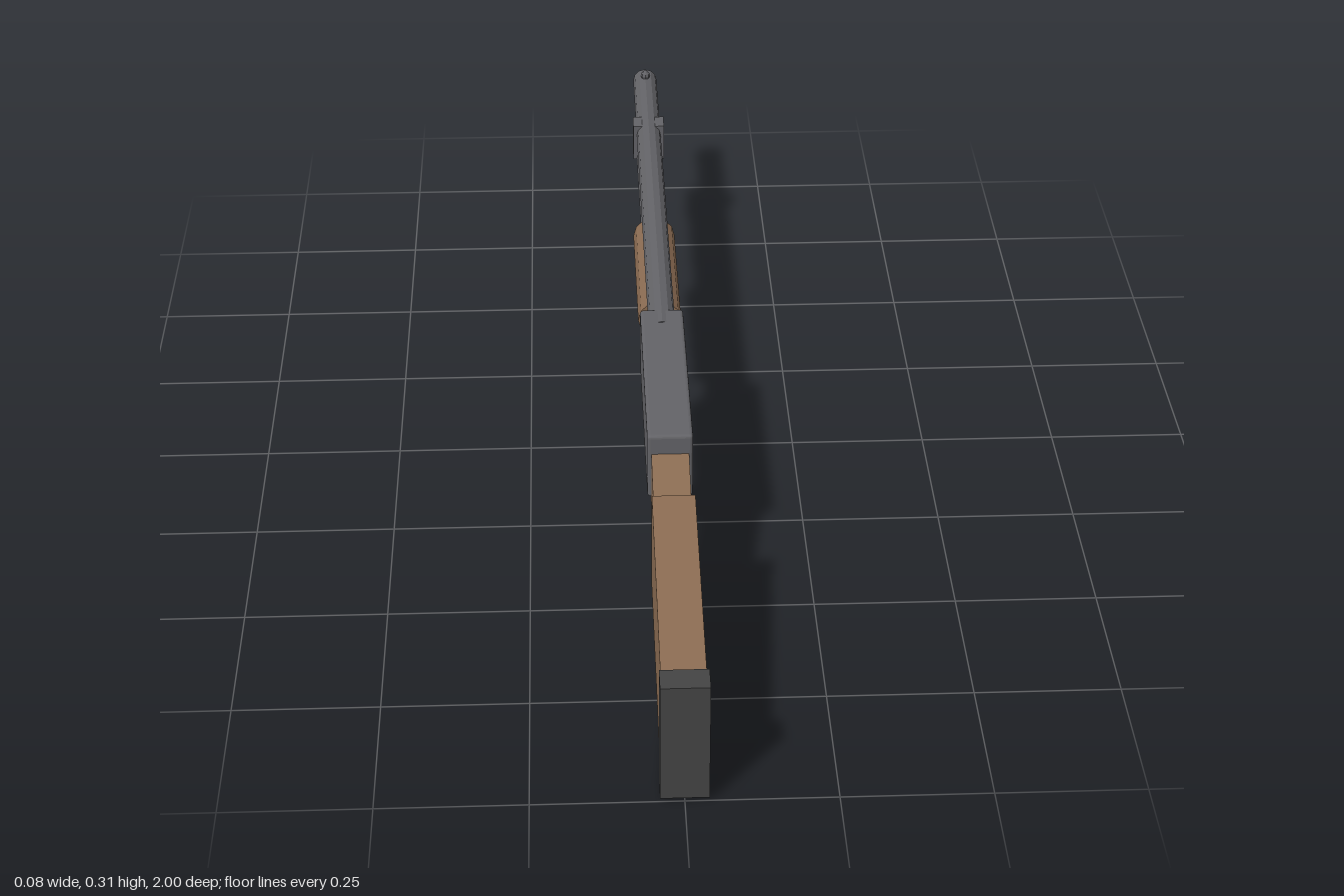
import * as THREE from 'three';
import { RoundedBoxGeometry } from 'three/addons/geometries/RoundedBoxGeometry.js';

const paint = (color) => new THREE.MeshStandardMaterial({ color, flatShading: true });

export function createModel() {
  const model = new THREE.Group();
  const metal = paint(0x636367), wood = paint(0x8b6c52), rubber = paint(0x444444);

  function add(name, geometry, material, y, z, tilt = 0) {
    const mesh = new THREE.Mesh(geometry, material);
    mesh.name = name;
    mesh.position.set(0, y, z);
    mesh.rotation.x = tilt;
    model.add(mesh);
    return mesh;
  }
  const box = (name, mat, w, h, d, y, z, tilt) =>
    add(name, new THREE.BoxGeometry(w, h, d), mat, y, z, tilt);
  // Cylinder lying along z between two ends
  const tube = (name, mat, r, y, z0, z1) =>
    add(name, new THREE.CylinderGeometry(r, r, Math.abs(z1 - z0), 12).rotateX(Math.PI / 2), mat, y, (z0 + z1) / 2);

  // Shoulder stock
  box('buttPad', rubber, 0.08, 0.228, 0.046, 0.121, 0.977);
  box('stock', wood, 0.074, 0.206, 0.45, 0.136, 0.745, 0.15);
  box('stockWrist', wood, 0.066, 0.105, 0.25, 0.181, 0.45, 0.32);

  // Receiver with the block below it
  add('receiver', new RoundedBoxGeometry(0.08, 0.13, 0.417, 2, 0.006), metal, 0.228, 0.184);
  box('lowerBlock', metal, 0.04, 0.085, 0.101, 0.1305, 0.256);

  // Barrel, tube below it and sliding grip
  tube('barrel', metal, 0.025, 0.27, 0.022, -1);
  tube('lowerTube', metal, 0.025, 0.215, 0, -0.853);
  tube('foreGrip', wood, 0.041, 0.212, -0.115, -0.433);
  box('barrelClamp', metal, 0.064, 0.077, 0.042, 0.2525, -0.768);

  // Bead sight
  add('frontSight', new THREE.SphereGeometry(0.01, 8, 6), metal, 0.3, -0.963);
  return model;
}
